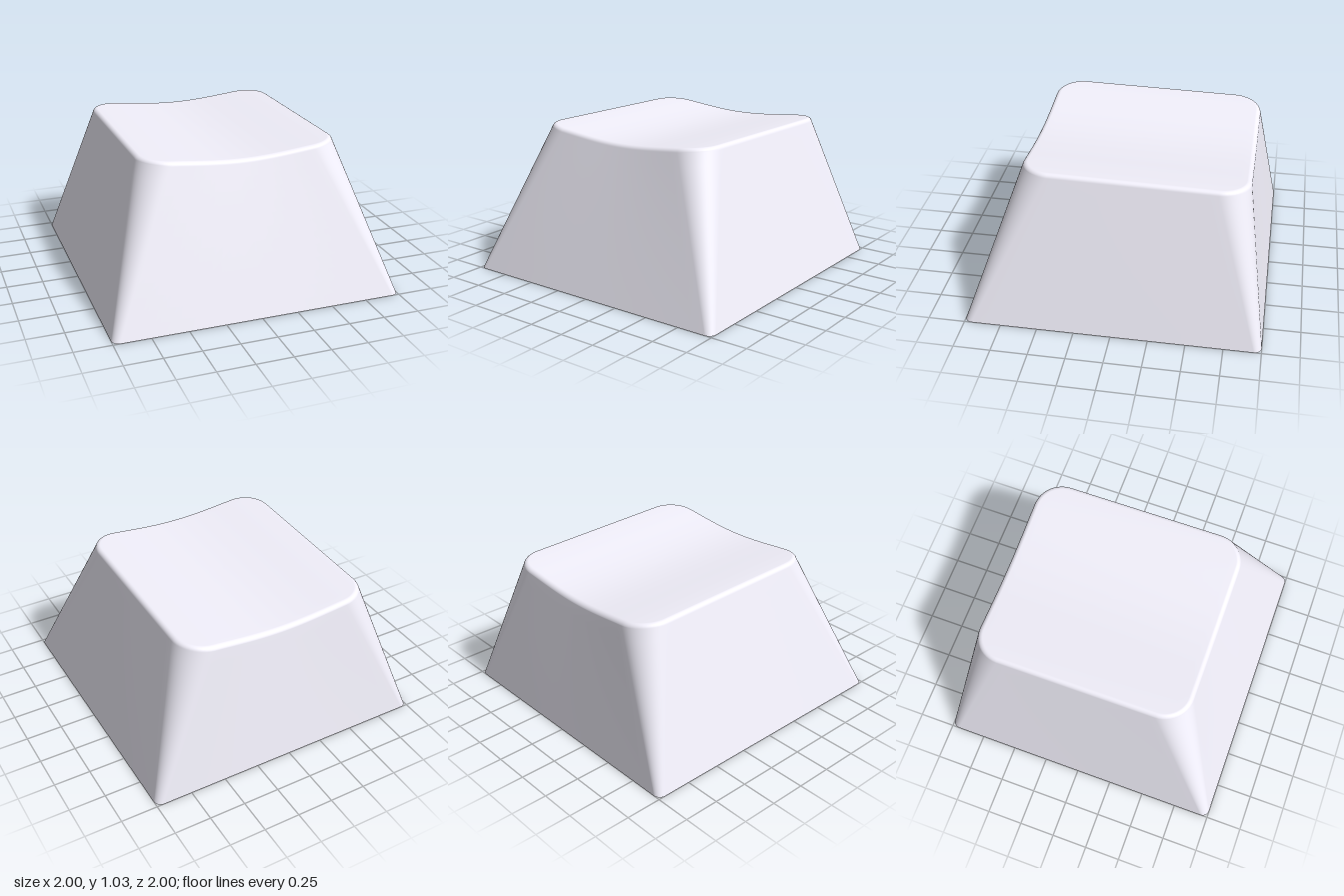
import * as THREE from 'three';

const ARC = 12, EDGE = 20; // segments per corner and per straight side

// Rounded rectangle in the xz plane, walked from +x towards +z.
function outline(halfX, back, front, r) {
  const cz = (front + back) / 2, halfZ = (front - back) / 2;
  const corners = [[1, 1], [-1, 1], [-1, -1], [1, -1]];
  const arcs = corners.map(([sx, sz], k) => {
    const arc = [];
    for (let i = 0; i <= ARC; i++) {
      const a = (k + i / ARC) * Math.PI / 2;
      arc.push(new THREE.Vector3(sx * (halfX - r) + r * Math.cos(a), 0, cz + sz * (halfZ - r) + r * Math.sin(a)));
    }
    return arc;
  });
  const points = [];
  arcs.forEach((arc, k) => {
    points.push(...arc);
    const from = arc[ARC], to = arcs[(k + 1) % 4][0];
    for (let i = 1; i < EDGE; i++) points.push(from.clone().lerp(to, i / EDGE));
  });
  return points;
}

// Smooth skin over a stack of closed rings with equal point counts.
function loft(rings) {
  const n = rings[0].length, index = [];
  for (let j = 0; j < rings.length - 1; j++) {
    for (let i = 0; i < n; i++) {
      const k = (i + 1) % n;
      const a = j * n + i, b = j * n + k, c = a + n, d = b + n;
      index.push(a, c, b, b, c, d);
    }
  }
  const geometry = new THREE.BufferGeometry().setFromPoints(rings.flat());
  geometry.setIndex(index);
  geometry.computeVertexNormals();
  return geometry;
}

// Dished top, tilted slightly down towards the back.
const topY = (x, z) => 0.979 + 0.053 * Math.sin(2 * x) ** 2 + 0.019 * (z - 0.5);

export function createModel() {
  const group = new THREE.Group();
  group.name = 'keycap';
  const material = new THREE.MeshStandardMaterial({ color: 0xf2f0fb });

  const HALF_X = 0.69, BACK = -0.85, FRONT = 0.66, CORNER = 0.2, FILLET = 0.036;
  const START = 0.25; // fillet begins where it meets the sloping walls

  // Outline at one step round the fillet of the top edge
  const filletRing = (a) => {
    const inset = FILLET * (1 - Math.cos(a));
    const ring = outline(HALF_X - inset, BACK + inset, FRONT - inset, CORNER - inset);
    ring.forEach((p) => { p.y = topY(p.x, p.z) - FILLET * (1 - Math.sin(a)); });
    return ring;
  };

  const bottom = outline(1, -1, 1, 0.05);
  const rim = filletRing(START);
  const rings = [];

  // Sloping walls
  for (let j = 0; j < 12; j++) rings.push(bottom.map((p, i) => p.clone().lerp(rim[i], j / 12)));

  // Rounded top edge
  for (let j = 0; j <= 8; j++) rings.push(filletRing(START + (Math.PI / 2 - START) * j / 8));

  // Dished top, shrinking towards the middle
  const edge = rings[rings.length - 1], cz = (BACK + FRONT) / 2;
  for (let j = 1; j <= 16; j++) {
    const s = 1 - j / 16;
    rings.push(edge.map((p) => {
      const x = p.x * s, z = cz + (p.z - cz) * s;
      return new THREE.Vector3(x, topY(x, z), z);
    }));
  }
  const body = new THREE.Mesh(loft(rings), material);
  body.name = 'body';

  // Flat underside
  const base = new THREE.Mesh(loft([bottom.map(() => new THREE.Vector3()), bottom]), material);
  base.name = 'base';

  group.add(body, base);
  return group;
}
